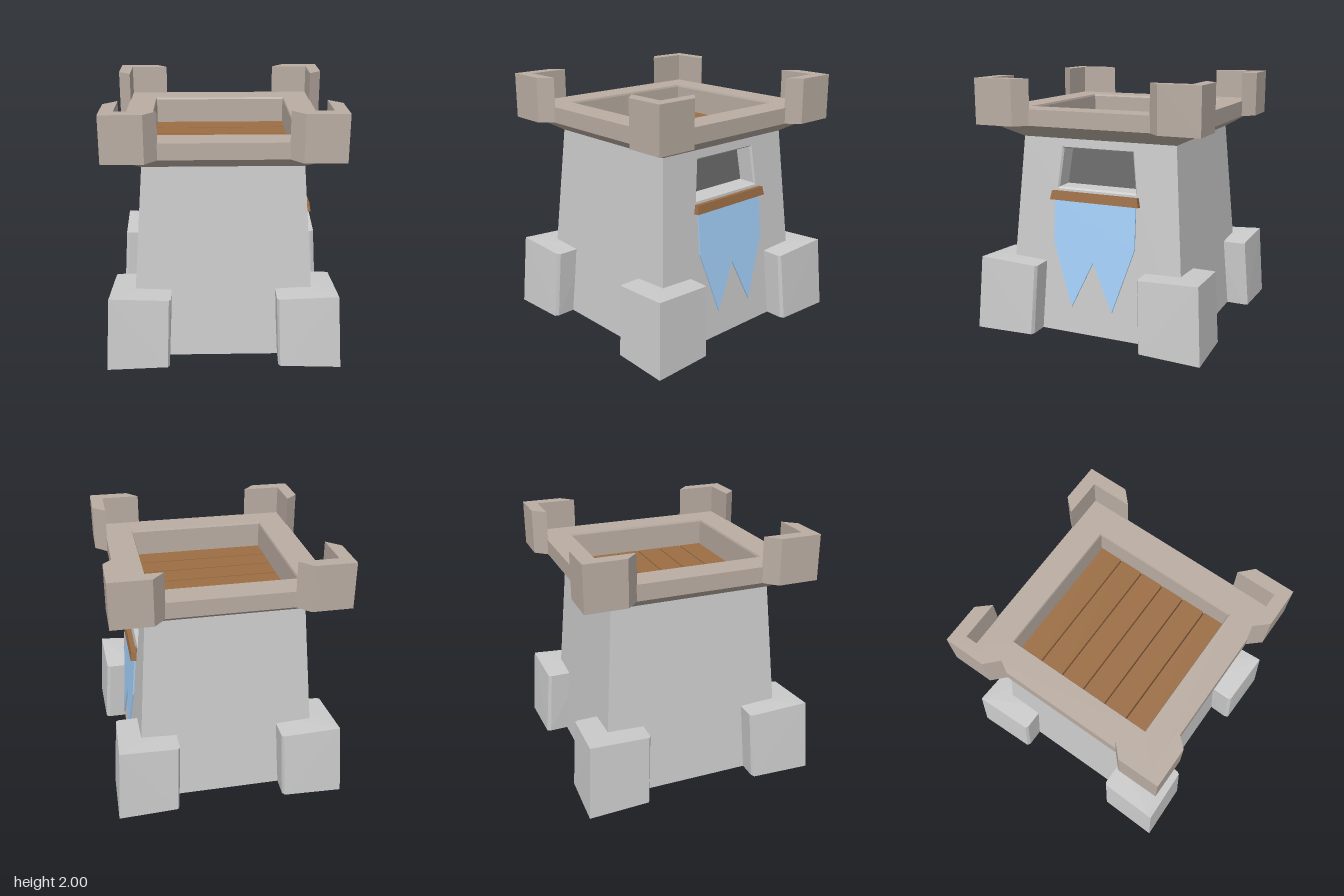
import * as THREE from 'three';
import { ConvexGeometry } from 'three/addons/geometries/ConvexGeometry.js';

const mat = (color, side = THREE.FrontSide) =>
  new THREE.MeshStandardMaterial({ color, side, flatShading: true });
const STONE = mat(0xcccccc), TRIM = mat(0xbaada3), WOOD = mat(0x9c6e45);
const WOOD_DARK = mat(0x5a3c22), SHADOW = mat(0x6a6a6a);
const CLOTH = mat(0xa5d0fa, THREE.DoubleSide);

// Flat-shaded geometry from four-cornered faces (counter-clockwise from outside)
function quads(list) {
  const pos = [];
  for (const [a, b, c, d] of list) pos.push(...a, ...b, ...c, ...a, ...c, ...d);
  const g = new THREE.BufferGeometry();
  g.setAttribute('position', new THREE.Float32BufferAttribute(pos, 3));
  g.computeVertexNormals();
  return g;
}

// Corners of a level rectangle [halfX, halfZ, y]
const ring = ([x, z, y]) => [[x, y, z], [x, y, -z], [-x, y, -z], [-x, y, z]];

// Faces joining successive rectangles; skip leaves out one side (0 is +x)
function loft(levels, skip = -1) {
  const faces = [];
  for (let i = 0; i + 1 < levels.length; i++) {
    const lo = ring(levels[i]), hi = ring(levels[i + 1]);
    for (let s = 0; s < 4; s++) {
      const t = (s + 1) % 4;
      if (s !== skip) faces.push([lo[s], lo[t], hi[t], hi[s]]);
    }
  }
  return faces;
}

// Faces joining two four-cornered loops
const bridge = (a, b) => a.map((p, i) => [p, a[(i + 1) % 4], b[(i + 1) % 4], b[i]]);

export function createModel() {
  const group = new THREE.Group();
  const add = (name, geometry, material, parent = group) => {
    const m = new THREE.Mesh(geometry, material);
    m.name = name;
    parent.add(m);
    return m;
  };
  const sub = (name) => {
    const g = new THREE.Group();
    g.name = name;
    group.add(g);
    return g;
  };

  // Tapered walls with a window cut into the +x side
  const base = [0.72, 0.75, 0.01], top = [0.605, 0.635, 1.54];
  const wallX = (y) => 0.72 - (0.115 * (y - 0.01)) / 1.53;
  const lo = ring(base), hi = ring(top);
  const face = [lo[0], lo[1], hi[1], hi[0]];
  const opening = (inset, depth) => [[0.335, 1.15], [-0.335, 1.15], [-0.3, 1.475], [0.3, 1.475]]
    .map(([z, y]) => [
      wallX(y) - depth,
      y + (y < 1.3 ? inset : -inset),
      z - Math.sign(z) * inset,
    ]);
  const outer = opening(0, 0), lip = opening(0.012, 0.015), back = opening(0.016, 0.15);
  add('walls', quads([
    ...loft([base, top], 0), ...bridge(face, outer), ...bridge(outer, lip), ...bridge(lip, back),
  ]), STONE);
  add('windowBack', quads([back]), SHADOW);

  // Underside with a square recess
  add('underside', quads(loft([[0, 0, 0.2], [0.43, 0.445, 0.2], [0.43, 0.445, 0.01], base])), TRIM);

  // Flared rim around the sunken platform
  add('rim', quads(loft([
    top, [0.775, 0.81, 1.645], [0.775, 0.81, 1.77], [0.555, 0.595, 1.77], [0.55, 0.59, 1.755],
    [0.55, 0.59, 1.5],
  ])), TRIM);

  // Plank floor with narrow dark gaps
  const floor = sub('platformFloor');
  add('floorBase', new THREE.BoxGeometry(1.1, 0.03, 1.18).translate(0, 1.515, 0), WOOD_DARK, floor);
  for (let i = 0; i < 6; i++) {
    const z = (i - 2.5) * 0.197;
    add('plank', new THREE.BoxGeometry(1.1, 0.04, 0.186).translate(0, 1.535, z), WOOD, floor);
  }

  // Corner blocks at the foot and L-shaped battlements above
  const foot = [
    [0.9, 0, 0.94], [0.435, 0.01, 0.93], [0.42, 0.01, 0.9], [0.43, 0.01, 0.6],
    [0.6, 0.01, 0.445], [0.86, 0.01, 0.445], [0.89, 0.01, 0.46],
    [0.865, 0.59, 0.905], [0.415, 0.565, 0.89], [0.4, 0.563, 0.865], [0.4, 0.565, 0.6],
    [0.6, 0.565, 0.42], [0.825, 0.563, 0.42], [0.85, 0.565, 0.435],
  ];
  const ell = [
    [0.87, 0.905], [0.56, 0.905], [0.47, 0.805], [0.77, 0.805], [0.77, 0.49], [0.87, 0.585],
  ];
  const feet = sub('cornerBlocks'), battlements = sub('battlements');
  for (const sx of [1, -1]) for (const sz of [1, -1]) {
    const pts = foot.map(([x, y, z]) => new THREE.Vector3(x * sx, y, z * sz));
    add('cornerBlock', new ConvexGeometry(pts), STONE, feet);
    const shape = new THREE.Shape(ell.map(([x, z]) => new THREE.Vector2(x * sx, -z * sz)));
    const g = new THREE.ExtrudeGeometry(shape, { depth: 0.355, bevelEnabled: false });
    add('battlement', g.rotateX(-Math.PI / 2).translate(0, 1.645, 0), TRIM, battlements);
  }

  // Banner rod, slightly tilted and narrower along the top, on two pegs
  const rod = new THREE.BoxGeometry(0.045, 0.07, 0.74);
  const p = rod.attributes.position;
  for (let i = 0; i < p.count; i++) if (p.getY(i) > 0) p.setXYZ(i, p.getX(i) * 0.85, p.getY(i), p.getZ(i) * 0.965);
  add('bannerRod', rod.rotateZ(0.1).translate(0.673, 1.104, 0), WOOD);
  for (const s of [1, -1])
    add('rodPeg', new THREE.BoxGeometry(0.05, 0.035, 0.035).translate(0.645, 1.1, s * 0.25), WOOD);

  // Swallow-tailed banner hanging away from the wall
  const cloth = new THREE.Shape([
    [-0.34, 0], [-0.342, -0.33], [-0.172, -0.84], [0, -0.47], [0.172, -0.84], [0.342, -0.33], [0.34, 0],
  ].map(([u, v]) => new THREE.Vector2(u, v)));
  const bg = new THREE.ExtrudeGeometry(cloth, { depth: 0.012, bevelEnabled: false });
  add('banner', bg.rotateY(Math.PI / 2).rotateZ(0.09).translate(0.656, 1.07, 0), CLOTH);

  return group;
}
